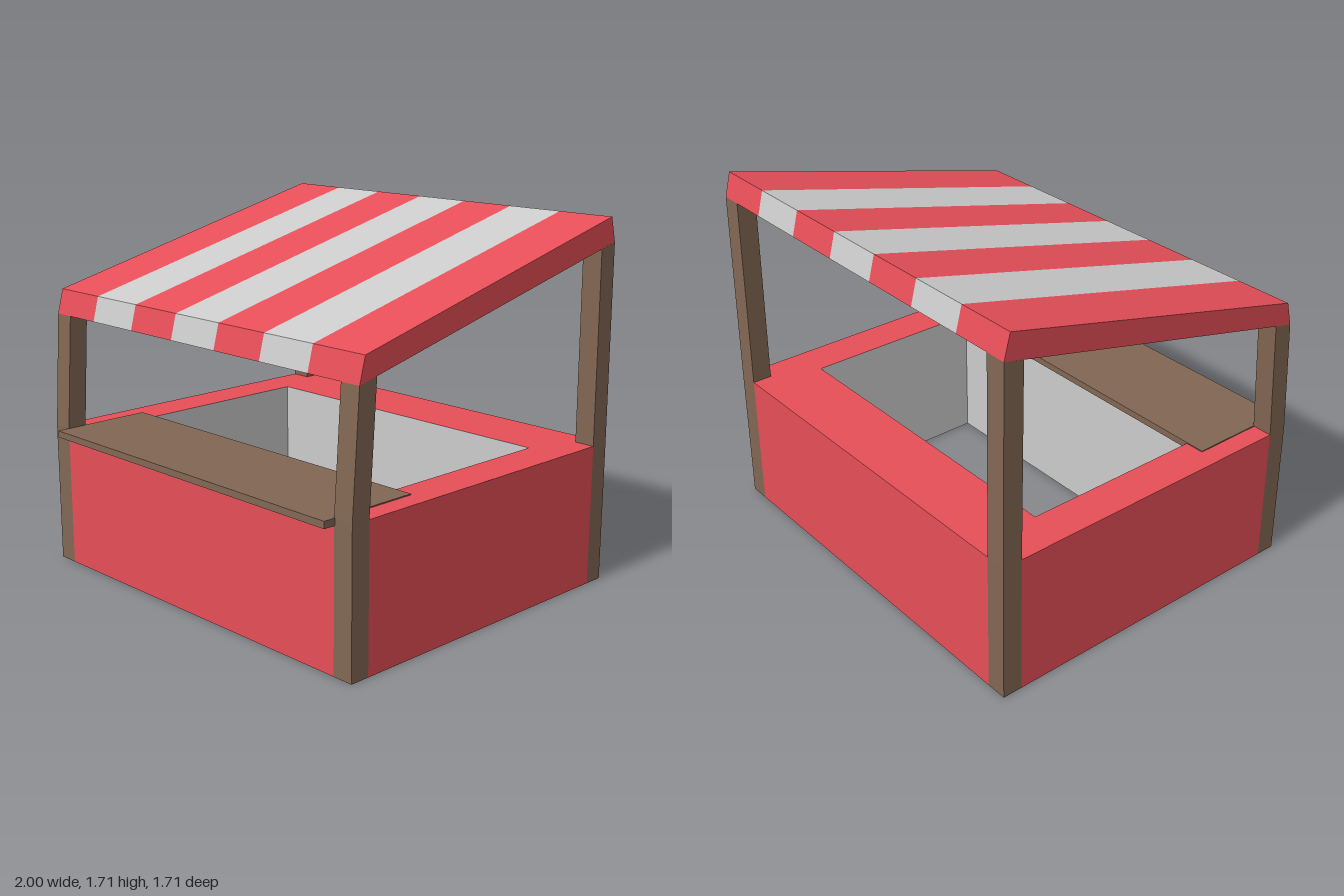
import * as THREE from 'three';
import { mergeGeometries } from 'three/addons/utils/BufferGeometryUtils.js';

const RED = 0xe74f58, GREY = 0xcccccc, BROWN = 0x826753;
const FRONT = 0.8, BACK = -0.855, POST = 0.095, TOP = 0.666;
const HOLE = { x: 0.81, front: 0.37, back: -0.53 };

function add(parent, name, geometry, color) {
  const mesh = new THREE.Mesh(geometry, new THREE.MeshStandardMaterial({ color, flatShading: true }));
  mesh.name = name;
  parent.add(mesh);
  return mesh;
}

// Flat polygon from corners listed counter-clockwise as seen from its front
function face(...corners) {
  const pos = [];
  for (let i = 1; i < corners.length - 1; i++) pos.push(...corners[0], ...corners[i], ...corners[i + 1]);
  const g = new THREE.BufferGeometry();
  g.setAttribute('position', new THREE.Float32BufferAttribute(pos, 3));
  g.computeVertexNormals();
  return g;
}

// Upright face from plan point a to plan point b ([x, z]), front on the right-hand side of the walk
function wall(a, b, h) {
  return face([a[0], 0, a[1]], [b[0], 0, b[1]], [b[0], h, b[1]], [a[0], h, a[1]]);
}

// Side profile of [z, y] points extruded along x
function slab(profile, xMin, width) {
  const shape = new THREE.Shape(profile.map(p => new THREE.Vector2(...p)));
  const g = new THREE.ExtrudeGeometry(shape, { depth: width, bevelEnabled: false });
  return g.rotateY(-Math.PI / 2).translate(xMin + width, 0, 0);
}

// Horizontal ring with notches for the posts; side 1 faces down, -1 faces up
function ring(side, y) {
  const xi = 0.9, zf = FRONT - POST, zb = BACK + POST;
  const v = ([x, z]) => new THREE.Vector2(x, z * side);
  const shape = new THREE.Shape([
    [xi, FRONT], [xi, zf], [1, zf], [1, zb], [xi, zb], [xi, BACK],
    [-xi, BACK], [-xi, zb], [-1, zb], [-1, zf], [-xi, zf], [-xi, FRONT],
  ].map(v));
  const { x, front, back } = HOLE;
  shape.holes.push(new THREE.Path([[x, front], [x, back], [-x, back], [-x, front]].map(v)));
  return new THREE.ShapeGeometry(shape).rotateX(side * Math.PI / 2).translate(0, y, 0);
}

function createBase() {
  const base = new THREE.Group();
  base.name = 'base';
  const xi = 0.9, zf = FRONT - POST, zb = BACK + POST;
  add(base, 'outerWalls', mergeGeometries([
    wall([-xi, FRONT], [xi, FRONT], TOP),
    wall([1, zf], [1, zb], TOP),
    wall([xi, BACK], [-xi, BACK], TOP),
    wall([-1, zb], [-1, zf], TOP),
  ]), RED);
  add(base, 'rim', ring(-1, TOP), RED);
  add(base, 'underside', ring(1, 0), GREY);
  // Inner walls face into the open well
  const { x, front, back } = HOLE;
  add(base, 'innerWalls', mergeGeometries([
    wall([x, front], [-x, front], TOP),
    wall([-x, front], [-x, back], TOP),
    wall([-x, back], [x, back], TOP),
    wall([x, back], [x, front], TOP),
  ]), GREY);
  return base;
}

function createCanopy() {
  const canopy = new THREE.Group();
  canopy.name = 'canopy';
  // Side profile [y, z]: front hem, front ridge, back ridge, back hem
  const profile = [[1.21, 0.765], [1.325, 0.735], [1.71, -0.82], [1.595, -0.85]];
  const at = (x, i) => [x, ...profile[i]];

  // Seven stripes, each running over the front flap, the slope and the back flap
  const count = 7, w = 2 / count;
  for (let s = 0; s < count; s++) {
    const x0 = -1 + s * w, x1 = x0 + w;
    const parts = [0, 1, 2].map(i => face(at(x0, i), at(x1, i), at(x1, i + 1), at(x0, i + 1)));
    add(canopy, 'stripe' + (s + 1), mergeGeometries(parts), s % 2 ? GREY : RED);
  }
  add(canopy, 'leftEdge', face(at(1, 0), at(1, 3), at(1, 2), at(1, 1)), RED);
  add(canopy, 'rightEdge', face(at(-1, 0), at(-1, 1), at(-1, 2), at(-1, 3)), RED);
  add(canopy, 'canopyUnderside', face(at(-1, 3), at(1, 3), at(1, 0), at(-1, 0)), GREY);
  return canopy;
}

export function createModel() {
  const model = new THREE.Group();
  model.name = 'marketStall';
  model.add(createBase());

  // Corner posts: the front pair leans back above the counter
  const frontPost = [[0.8, 0], [0.8, 0.67], [0.765, 1.21], [0.67, 1.233], [0.705, 0.67], [0.705, 0]];
  const backPost = [[-0.76, 0], [-0.76, 0.67], [-0.755, 1.572], [-0.85, 1.595], [-0.855, 0.67], [-0.855, 0]];
  for (const [side, x] of [['Left', 0.9], ['Right', -1]]) {
    add(model, 'front' + side + 'Post', slab(frontPost, x, 0.1), BROWN);
    add(model, 'back' + side + 'Post', slab(backPost, x, 0.1), BROWN);
  }

  // Counter board overhanging the front wall
  const counter = add(model, 'counter', new THREE.BoxGeometry(1.808, 0.032, 0.495), BROWN);
  counter.position.set(0, 0.655, 0.61);

  model.add(createCanopy());
  return model;
}
